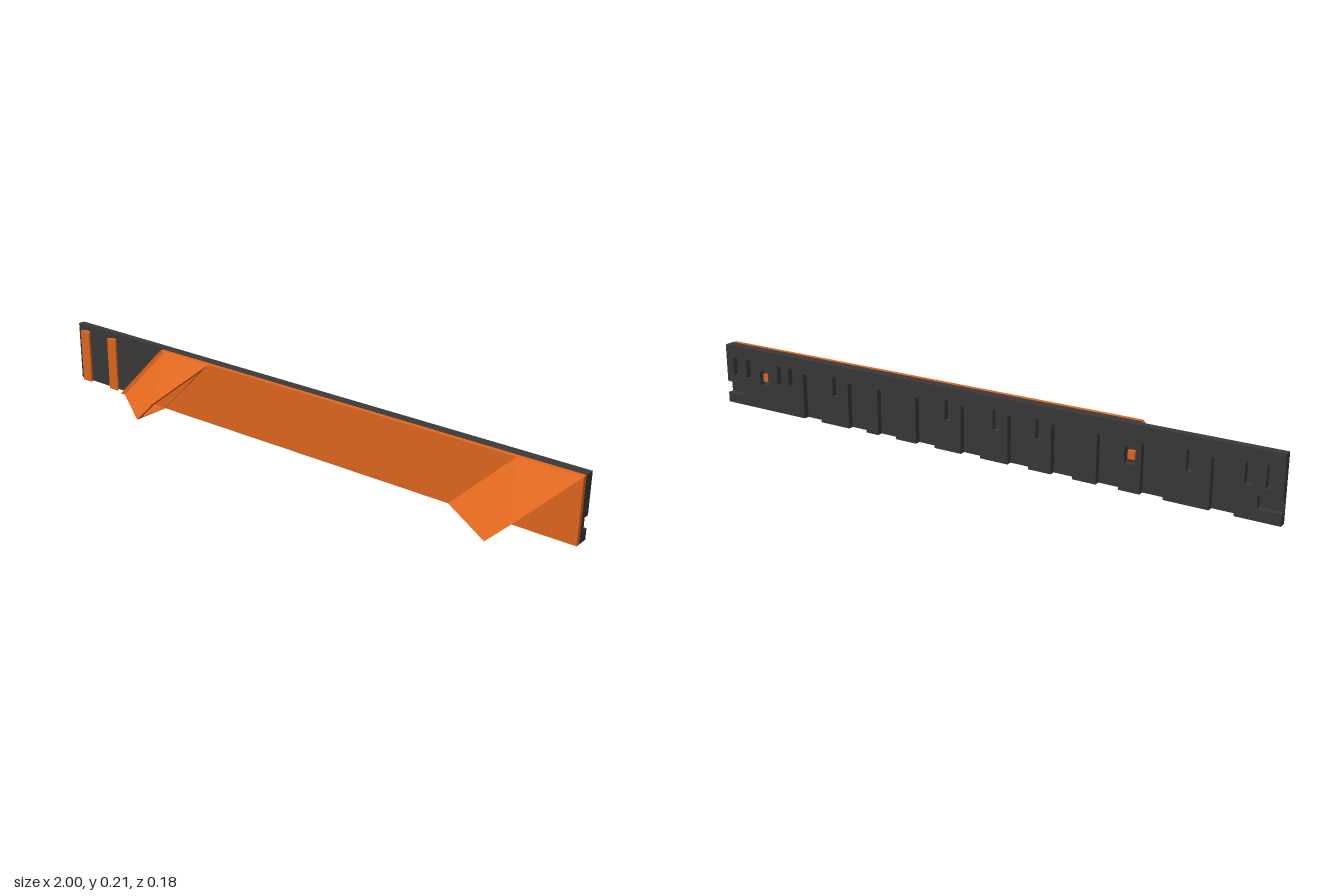
import * as THREE from 'three';

const H = 0.207;
const orange = new THREE.MeshStandardMaterial({ color: 0xe2681f });
const dark = new THREE.MeshStandardMaterial({ color: 0x3a3a3a });

const path = (pts, Type = THREE.Shape) => new Type(pts.map(([x, y]) => new THREE.Vector2(x, y)));
const rect = (x, y, w, h) => path([[x, y], [x, y + h], [x + w, y + h], [x + w, y]], THREE.Path);

// Flat slab of a front outline between two depths
function slab(name, shape, z0, z1, material) {
  const g = new THREE.ExtrudeGeometry(shape, { depth: z1 - z0, bevelEnabled: false });
  g.translate(0, 0, z0);
  const m = new THREE.Mesh(g, material);
  m.name = name;
  return m;
}

// Corners of a wedge whose open side lies on the plane x = y
function wedge(zb, zf, y0, yf, yt, w) {
  const p = (u, y, z) => new THREE.Vector3(u + y, y, z);
  return {
    A: p(-w, y0, zb), B: p(-w, yt, zb), C: p(0, y0, zf),
    D: p(0, yf, zf), E: p(0, yt, zb), F: p(0, y0, zb),
  };
}

// Hollow deflector: outer skin, inner cavity and the rim joining them
function deflectorGeometry() {
  const o = wedge(-0.042, 0.092, 0, 0.075, H, 0.2);
  const i = wedge(-0.036, 0.075, 0.004, 0.065, 0.176, 0.168);
  const pos = [];
  const face = (...v) => {
    for (let k = 1; k < v.length - 1; k++)
      for (const q of [v[0], v[k], v[k + 1]]) pos.push(q.x, q.y, q.z);
  };
  face(o.A, o.C, o.D, o.B);
  face(o.B, o.D, o.E);
  face(o.A, o.F, o.C);
  face(o.A, o.B, o.E, o.F);
  face(i.B, i.D, i.C, i.A);
  face(i.E, i.D, i.B);
  face(i.C, i.F, i.A);
  face(i.F, i.E, i.B, i.A);
  const loop = ['F', 'E', 'D', 'C'];
  loop.forEach((a, k) => {
    const b = loop[(k + 1) % 4];
    face(o[a], o[b], i[b], i[a]);
  });
  const g = new THREE.BufferGeometry();
  g.setAttribute('position', new THREE.Float32BufferAttribute(pos, 3));
  g.computeVertexNormals();
  return g;
}

// Rear layer of the beam: notched bottom edge, notched ends and slots
function rearShape() {
  const pts = [[-1, 0]];
  const pockets = [-0.83, -0.62, -0.48, -0.33, -0.18, -0.01, 0.16, 0.31, 0.43, 0.62];
  for (const c of pockets) {
    const a = c - 0.036, b = c + 0.036;
    pts.push([a, 0], [a, 0.155], [b, 0.155], [b, 0]);
  }
  pts.push([1, 0], [1, 0.035], [0.93, 0.035], [0.93, 0.075], [1, 0.075], [1, H], [-1, H],
    [-1, 0.075], [-0.93, 0.075], [-0.93, 0.035], [-1, 0.035]);
  const s = path(pts);
  for (const x of [-0.96, -0.9, -0.73, -0.25, -0.1, 0.075, 0.52, 0.71, 0.76, 0.9, 0.96])
    s.holes.push(rect(x - 0.01, 0.1, 0.02, 0.065));
  for (const x of [-0.55, 0.83]) s.holes.push(rect(x - 0.018, 0.085, 0.036, 0.05));
  return s;
}

export function createModel() {
  const model = new THREE.Group();
  const slanted = (x) => path([[x, 0], [1, 0], [1, H], [x + H, H]]);
  const full = path([[-1, 0], [1, 0], [1, H], [-1, H]]);

  // Dark backing beam in three layers
  const beam = new THREE.Group();
  beam.name = 'backingBeam';
  beam.add(
    slab('beamRearRibs', rearShape(), -0.092, -0.073, dark),
    slab('beamWeb', full, -0.073, -0.068, dark),
    slab('beamFrontStep', slanted(-0.77), -0.068, -0.057, dark),
  );
  model.add(beam);

  // Orange face plate with its slanted end
  model.add(slab('facePlate', slanted(-0.77), -0.057, -0.042, orange));

  // Deflectors
  const dg = deflectorGeometry();
  for (const x of [-0.55, 1 - H]) {
    const d = new THREE.Mesh(dg, orange);
    d.name = 'deflector';
    d.position.x = x;
    model.add(d);
  }

  // Dovetail rails on the bare end: trapezoid section, wider at the front
  const section = path([[-0.012, 0.068], [0.012, 0.068], [0.021, 0.053], [-0.021, 0.053]]);
  const rg = new THREE.ExtrudeGeometry(section, { depth: 0.188, bevelEnabled: false });
  rg.rotateX(-Math.PI / 2);
  for (const x of [-0.955, -0.818]) {
    const r = new THREE.Mesh(rg, orange);
    r.name = 'dovetailRail';
    r.position.x = x;
    model.add(r);
  }

  // Clip ends showing through the rear
  const cg = new THREE.BoxGeometry(0.022, 0.026, 0.012);
  for (const x of [-0.55, 0.83]) {
    const c = new THREE.Mesh(cg, orange);
    c.name = 'plateClip';
    c.position.set(x, 0.11, -0.078);
    model.add(c);
  }
  return model;
}
